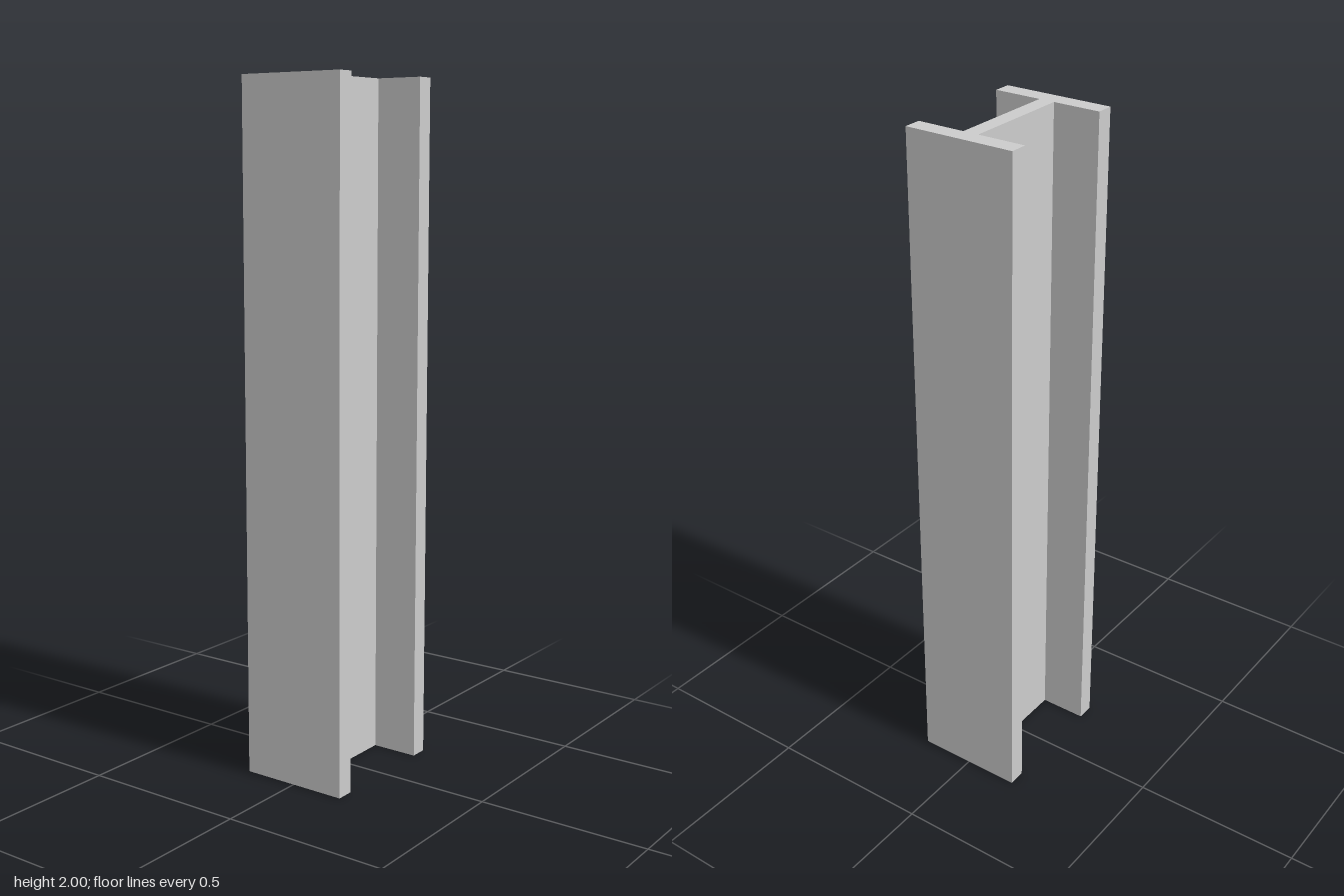
import * as THREE from 'three';

const HEIGHT = 2;
const HALF_WIDTH = 0.2175;  // outer faces of the flanges
const WEB_END = 0.165;      // inner faces of the flanges
const HALF_DEPTH = 0.164;
const HALF_WEB = 0.023;

export function createModel() {
  const group = new THREE.Group();
  group.name = 'steelColumn';

  // One quarter of the H section, mirrored into all four quadrants
  const quarter = [[WEB_END, HALF_WEB], [WEB_END, HALF_DEPTH], [HALF_WIDTH, HALF_DEPTH]];
  const points = [];
  for (const [sx, sy] of [[1, 1], [1, -1], [-1, -1], [-1, 1]]) {
    const corner = quarter.map(([x, y]) => new THREE.Vector2(sx * x, sy * y));
    points.push(...(sx * sy > 0 ? corner : corner.reverse()));
  }

  // Section extruded upwards into a single beam: two flanges and a web
  const geometry = new THREE.ExtrudeGeometry(new THREE.Shape(points), {
    depth: HEIGHT, bevelEnabled: false,
  });
  geometry.rotateX(-Math.PI / 2);

  const beam = new THREE.Mesh(geometry, new THREE.MeshStandardMaterial({ color: 0xcccccc }));
  beam.name = 'hBeam';
  group.add(beam);
  return group;
}
